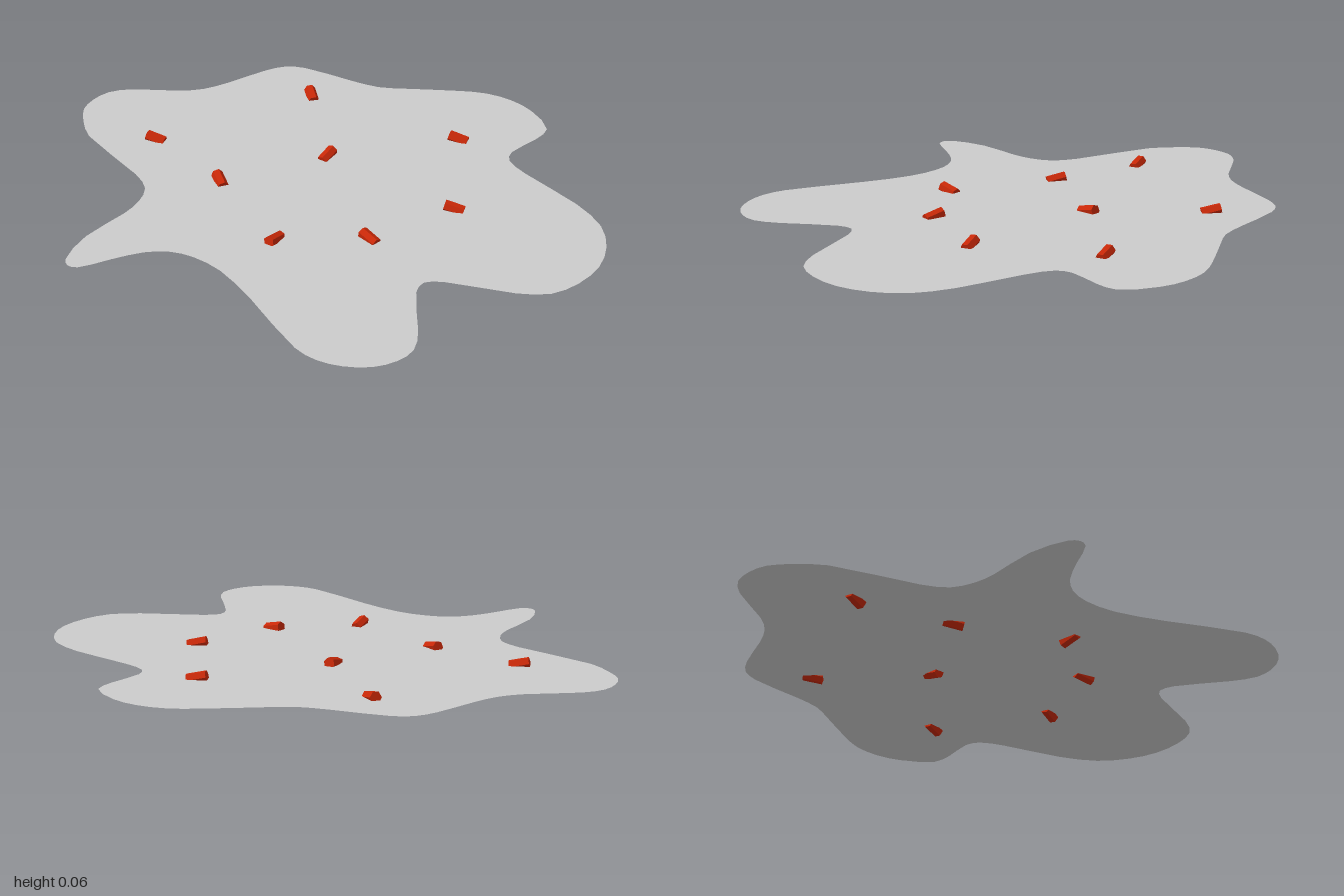
import * as THREE from 'three';

const grey = new THREE.MeshStandardMaterial({ color: 0xcccccc, side: THREE.DoubleSide });
const red = new THREE.MeshStandardMaterial({ color: 0xc82808, flatShading: true });

// Blob outline as [x, z], joined by a closed spline
const OUTLINE = [
  [-0.22, -1], [-0.14, -0.965], [0, -0.84], [0.08, -0.795], [0.18, -0.775], [0.35, -0.76],
  [0.43, -0.735], [0.48, -0.68], [0.56, -0.49], [0.61, -0.39], [0.68, -0.32], [0.83, -0.18],
  [0.9, -0.1], [0.94, 0], [0.945, 0.1], [0.9, 0.23], [0.82, 0.255], [0.69, 0.265],
  [0.645, 0.3], [0.63, 0.4], [0.635, 0.65], [0.605, 0.8], [0.53, 0.9], [0.43, 0.965],
  [0.31, 0.99], [0.2, 0.975], [0.11, 0.9], [-0.03, 0.71], [-0.085, 0.67], [-0.14, 0.695],
  [-0.27, 0.855], [-0.345, 0.92], [-0.42, 0.93], [-0.5, 0.905], [-0.57, 0.845],
  [-0.615, 0.77], [-0.63, 0.68], [-0.585, 0.39], [-0.57, 0.2], [-0.595, 0.08],
  [-0.64, 0.005], [-0.71, -0.045], [-0.82, -0.08], [-0.93, -0.11], [-0.95, -0.14],
  [-0.935, -0.175], [-0.81, -0.245], [-0.63, -0.28], [-0.55, -0.31], [-0.485, -0.365],
  [-0.46, -0.46], [-0.45, -0.78], [-0.41, -0.88], [-0.36, -0.955], [-0.295, -0.99],
];

// Each pellet: x, z, then the ground direction of its raised end
const PELLETS = [
  [-0.27, -0.61, -0.52, -0.85], [0.37, -0.5, 0.42, -0.9], [-0.25, -0.24, 0.3, -0.95],
  [0.15, -0.13, 0.96, -0.28], [0.595, 0.08, -0.52, -0.85], [-0.32, 0.17, -0.95, 0.3],
  [-0.065, 0.365, -0.08, -1], [0.28, 0.41, -0.58, -0.81],
];

export function createModel() {
  const model = new THREE.Group();

  // Flat puddle surface
  const curve = new THREE.CatmullRomCurve3(
    OUTLINE.map(([x, z]) => new THREE.Vector3(x, -z, 0)), true, 'centripetal');
  const points = curve.getPoints(OUTLINE.length * 2).slice(0, -1);
  const shape = new THREE.Shape(points.map(p => new THREE.Vector2(p.x, p.y)));
  const puddle = new THREE.Mesh(new THREE.ShapeGeometry(shape).rotateX(-Math.PI / 2), grey);
  puddle.name = 'puddle';
  puddle.position.y = 0.026;
  model.add(puddle);

  // Small tilted six-sided pellets, half sunk into the puddle
  const pelletGeometry = new THREE.CylinderGeometry(0.021, 0.021, 0.07, 6);
  const up = new THREE.Vector3(0, 1, 0);
  PELLETS.forEach(([x, z, dx, dz], i) => {
    const pellet = new THREE.Mesh(pelletGeometry, red);
    pellet.name = `pellet${i + 1}`;
    pellet.position.set(x, 0.029, z);
    pellet.quaternion.setFromUnitVectors(up, new THREE.Vector3(dx, 0.22, dz).normalize());
    model.add(pellet);
  });

  return model;
}
